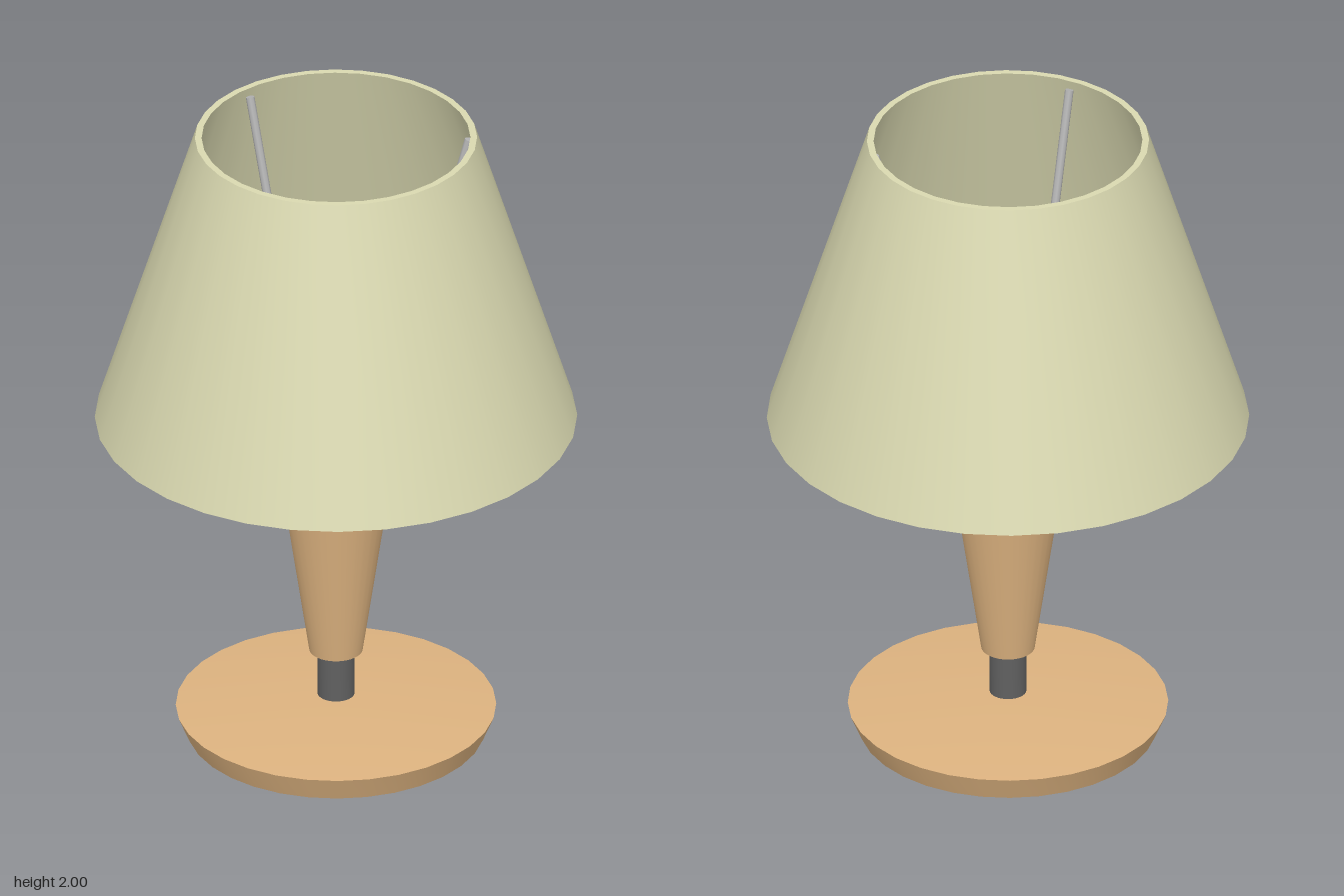
import * as THREE from 'three';
import { toCreasedNormals } from 'three/addons/utils/BufferGeometryUtils.js';

const SIDES = 32;
const material = (color) => new THREE.MeshStandardMaterial({ color });

// Turned part from a profile of [radius, height] pairs
function turned(name, profile, mat) {
  const points = profile.map(([r, y]) => new THREE.Vector2(r, y));
  const geometry = toCreasedNormals(new THREE.LatheGeometry(points, SIDES), 0.4);
  const mesh = new THREE.Mesh(geometry, mat);
  mesh.name = name;
  return mesh;
}

// Round rod between two points
function rod(name, a, b, radius, mat) {
  const direction = b.clone().sub(a);
  const mesh = new THREE.Mesh(new THREE.CylinderGeometry(radius, radius, direction.length(), 8), mat);
  mesh.position.copy(a).add(b).multiplyScalar(0.5);
  mesh.quaternion.setFromUnitVectors(new THREE.Vector3(0, 1, 0), direction.normalize());
  mesh.name = name;
  return mesh;
}

export function createModel() {
  const lamp = new THREE.Group();
  lamp.name = 'tableLamp';
  const wood = material(0xdcb27f);
  const darkMetal = material(0x606060);
  const steel = material(0xb5b5b5);
  const fabric = material(0xd9d8b0);

  // Wooden foot and tapered body, joined by a metal stem
  lamp.add(turned('base', [[0, 0], [0.445, 0], [0.477, 0.077], [0, 0.12]], wood));
  lamp.add(turned('stem', [[0, 0.09], [0.055, 0.09], [0.055, 0.28], [0, 0.28]], darkMetal));
  lamp.add(turned('body', [[0, 0.265], [0.08, 0.265], [0.187, 0.99], [0.04, 1.045], [0, 1.045]], wood));

  // Hollow bulb socket on a thin neck
  lamp.add(turned('socket', [
    [0.04, 1.035], [0.04, 1.12], [0.065, 1.13], [0.095, 1.17], [0.108, 1.2], [0.108, 1.235],
    [0.092, 1.24], [0.092, 1.265], [0.108, 1.27], [0.108, 1.285], [0.092, 1.29], [0.092, 1.31],
    [0.098, 1.315], [0.098, 1.35], [0.09, 1.36], [0.08, 1.36],
    [0.07, 1.19], [0.038, 1.19], [0.038, 1.035],
  ], darkMetal));

  // Shade carrier: a ring with three bent arms
  const carrier = new THREE.Group();
  carrier.name = 'shadeCarrier';
  const ring = new THREE.Mesh(new THREE.TorusGeometry(0.096, 0.012, 8, SIDES), steel);
  ring.name = 'carrierRing';
  ring.rotation.x = Math.PI / 2;
  ring.position.y = 1.252;
  carrier.add(ring);
  for (const degrees of [-84.4, 39.4, 163.1]) {
    const angle = THREE.MathUtils.degToRad(degrees);
    const at = (r, y) => new THREE.Vector3(r * Math.cos(angle), y, r * Math.sin(angle));
    const arm = new THREE.Group();
    arm.name = 'carrierArm';
    arm.add(rod('armFoot', at(0.095, 1.252), at(0.215, 1.252), 0.013, steel));
    arm.add(rod('armUpright', at(0.205, 1.242), at(0.398, 1.97), 0.013, steel));
    carrier.add(arm);
  }
  lamp.add(carrier);

  // Thin conical shade, open at both ends
  lamp.add(turned('shade', [
    [0.698, 1.055], [0.718, 1.055], [0.42, 2], [0.4, 2], [0.698, 1.055],
  ], fabric));

  return lamp;
}
